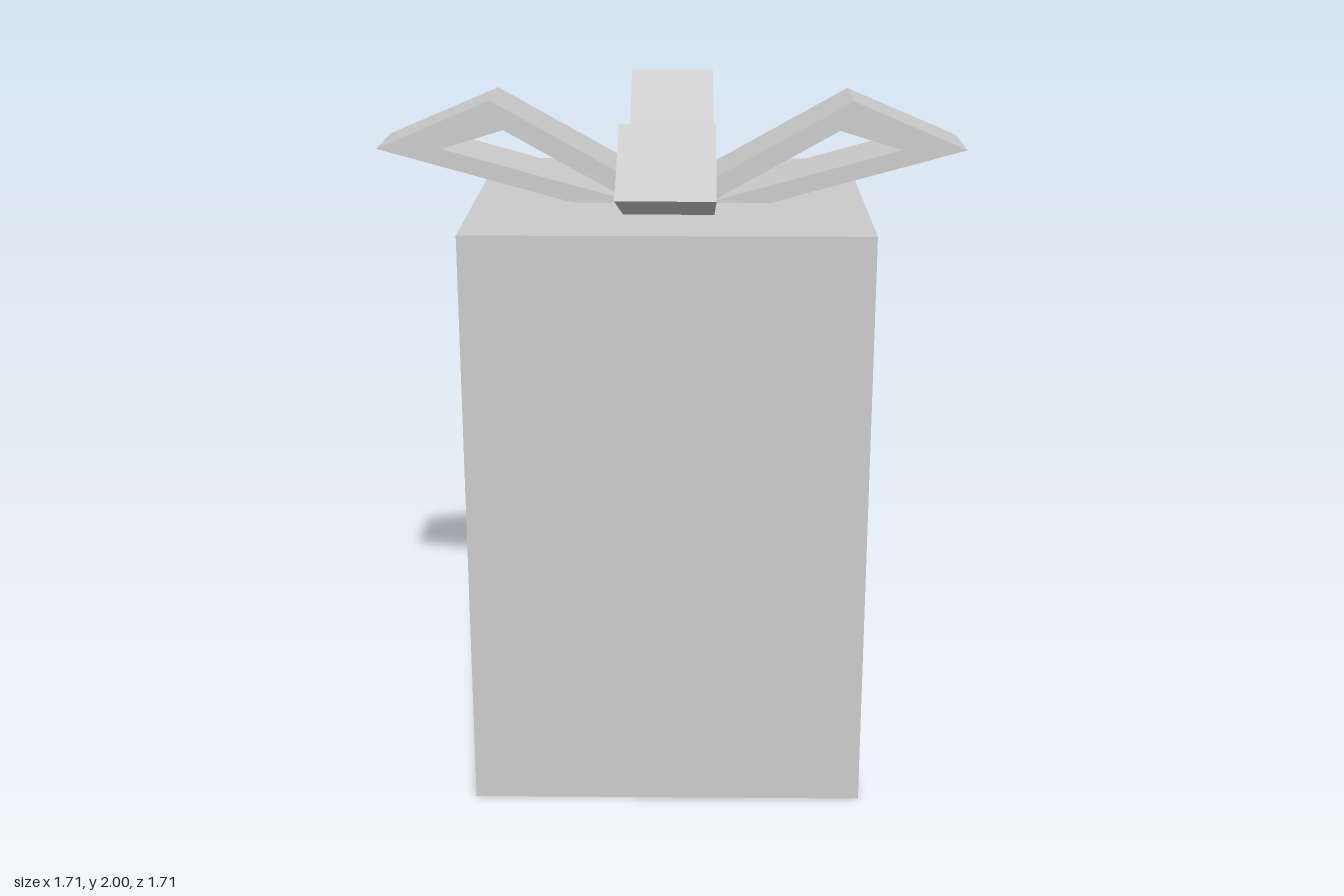
import * as THREE from 'three';

const polygon = (Kind, pts) => new Kind(pts.map(([x, y]) => new THREE.Vector2(x, y)));

export function createModel() {
  const group = new THREE.Group();
  const material = new THREE.MeshStandardMaterial({ color: 0xcccccc, flatShading: true });

  // Gift box
  const box = new THREE.Mesh(new THREE.BoxGeometry(1.135, 1.705, 1.135), material);
  box.name = 'giftBox';
  box.position.set(-0.007, 0.8525, -0.006);
  group.add(box);

  // Ribbon loop: a pointed frame whose inner end sinks into the lid
  const loop = polygon(THREE.Shape, [[0, 1.625], [0.853, 1.86], [0.522, 2], [0, 1.708]]);
  loop.holes.push(polygon(THREE.Path, [[0.115, 1.708], [0.485, 1.915], [0.665, 1.86]]));
  const width = 0.258;
  const loopGeometry = new THREE.ExtrudeGeometry(loop, { depth: width, bevelEnabled: false });
  loopGeometry.translate(0, 0, -width / 2);

  // Four loops crossing at the centre of the lid
  const bow = new THREE.Group();
  bow.name = 'bow';
  ['leftLoop', 'backLoop', 'rightLoop', 'frontLoop'].forEach((name, i) => {
    const mesh = new THREE.Mesh(loopGeometry, material);
    mesh.name = name;
    mesh.rotation.y = i * Math.PI / 2;
    mesh.position.set(i % 2 ? -0.005 : 0, 0, i % 2 ? 0 : -0.005);
    bow.add(mesh);
  });
  group.add(bow);
  return group;
}
